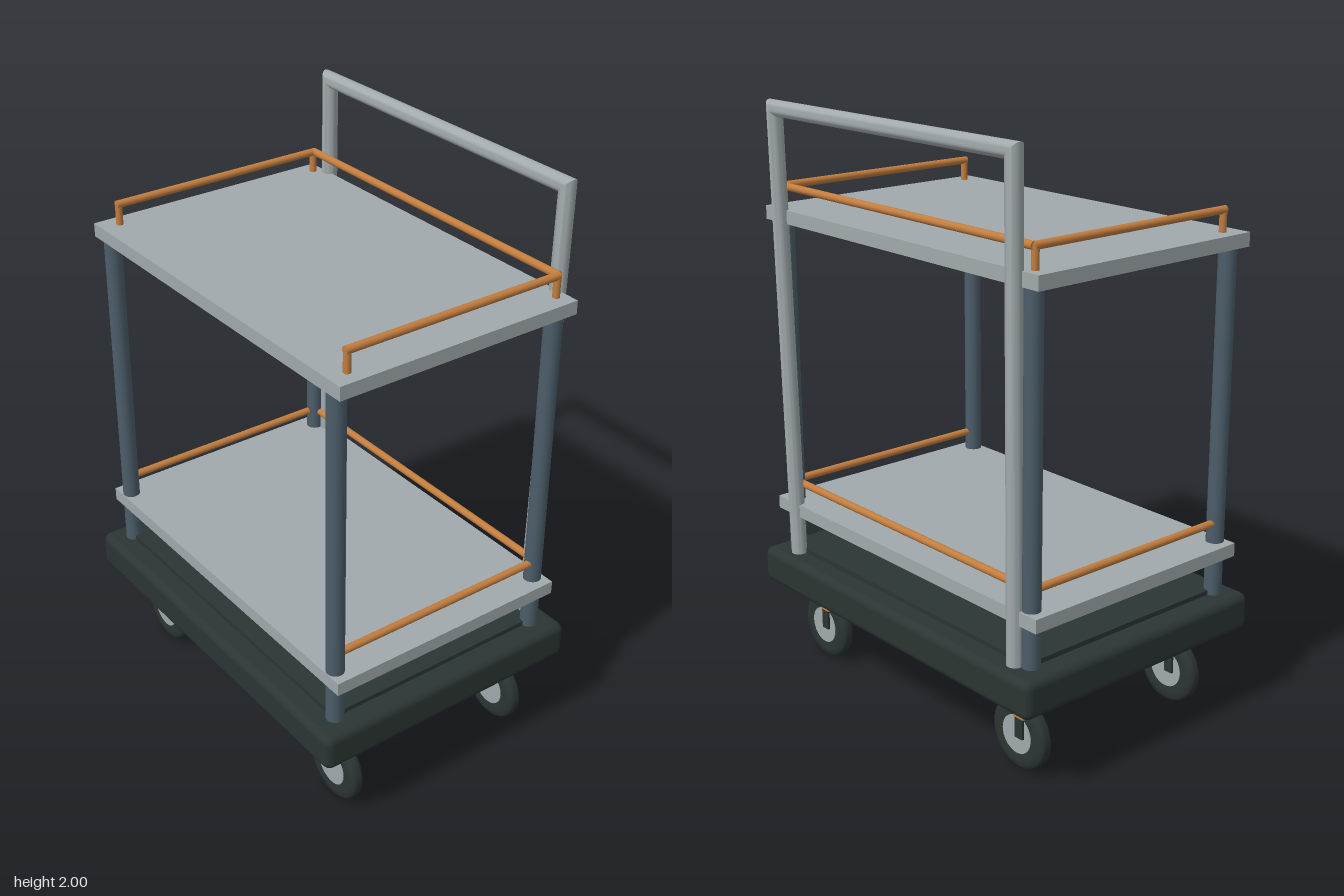
import * as THREE from 'three';
import { toCreasedNormals } from 'three/addons/utils/BufferGeometryUtils.js';
import { RoundedBoxGeometry } from 'three/addons/geometries/RoundedBoxGeometry.js';

const paint = (name, color) => {
  const m = new THREE.MeshStandardMaterial({ color });
  m.name = name;
  return m;
};

export function createModel() {
  const steel = paint('light steel', 0xa1a9ac);
  const slate = paint('slate blue', 0x4b5d69);
  const rubber = paint('dark rubber', 0x2b3533);
  const copper = paint('copper', 0xc27d3e);

  const cart = new THREE.Group();
  cart.name = 'serviceCart';

  const add = (parent, name, geometry, material, x = 0, y = 0, z = 0) => {
    const mesh = new THREE.Mesh(geometry, material);
    mesh.name = name;
    mesh.position.set(x, y, z);
    parent.add(mesh);
    return mesh;
  };
  const box = (w, h, d) => new THREE.BoxGeometry(w, h, d);

  // Round bar between two points
  const rod = (parent, name, from, to, radius, material) => {
    const a = new THREE.Vector3(...from), b = new THREE.Vector3(...to);
    const dir = b.clone().sub(a);
    const mesh = add(parent, name, new THREE.CylinderGeometry(radius, radius, dir.length(), 20), material);
    mesh.position.copy(a).add(b).multiplyScalar(0.5);
    mesh.quaternion.setFromUnitVectors(new THREE.Vector3(0, 1, 0), dir.normalize());
  };

  // Rounded base deck with a thin raised mat
  add(cart, 'deck', new RoundedBoxGeometry(1.4, 0.13, 1, 4, 0.028), rubber, 0, 0.35, 0);
  add(cart, 'deckMat', box(1.24, 0.02, 0.84), rubber, 0, 0.421, 0);

  // Shelves
  add(cart, 'lowerShelf', box(1.35, 0.046, 0.885), steel, 0, 0.578, 0);
  add(cart, 'upperShelf', box(1.35, 0.046, 0.885), steel, 0, 1.617, 0);

  // Corner posts
  for (const x of [-0.616, 0.616])
    for (const z of [-0.406, 0.41]) rod(cart, 'cornerPost', [x, 0.41, z], [x, 1.6, z], 0.03, slate);

  // Guard rails round three sides of each shelf
  for (const [y, name] of [[0.668, 'lowerRail'], [1.71, 'upperRail']]) {
    const rail = new THREE.Group();
    rail.name = name;
    cart.add(rail);
    rod(rail, 'backRail', [-0.62, y, -0.41], [0.62, y, -0.41], 0.013, copper);
    for (const x of [-0.62, 0.62]) {
      rod(rail, 'sideRail', [x, y, -0.41], [x, y, 0.385], 0.013, copper);
      if (y > 1)
        for (const z of [-0.405, 0.377]) rod(rail, 'railPost', [x, 1.635, z], [x, y + 0.006, z], 0.012, copper);
    }
  }

  // Push handle: a round tube swept through rings with mitred corners
  const rings = [
    [-0.573, 0.4, -0.434, -1, 0],
    [-0.583, 1.973, -0.453, -1, 1],
    [0.583, 1.973, -0.453, 1, 1],
    [0.573, 0.4, -0.434, 1, 0],
  ];
  const sides = 24, radius = 0.027, points = [], faces = [];
  rings.forEach(([x, y, z, nx, ny], i) => {
    for (let j = 0; j < sides; j++) {
      const t = (j / sides) * Math.PI * 2, c = radius * Math.cos(t);
      points.push(x + nx * c, y + ny * c, z + radius * Math.sin(t));
      if (i === rings.length - 1) continue;
      const a = i * sides + j, b = i * sides + ((j + 1) % sides);
      faces.push(a, b, a + sides, b, b + sides, a + sides);
    }
  });
  const tube = new THREE.BufferGeometry();
  tube.setAttribute('position', new THREE.Float32BufferAttribute(points, 3));
  tube.setIndex(faces);
  add(cart, 'pushHandle', toCreasedNormals(tube, 0.6), steel);

  // Tyre outline: radius, half width
  const tyre = toCreasedNormals(new THREE.LatheGeometry([
    [0, -0.022], [0.07, -0.022], [0.09, -0.025], [0.108, -0.022], [0.117, -0.015], [0.12, -0.006],
    [0.12, 0.006], [0.117, 0.015], [0.108, 0.022], [0.09, 0.025], [0.07, 0.022], [0, 0.022],
  ].map(([r, h]) => new THREE.Vector2(r, h)), 40), 0.6);

  // Swivel casters, each wheel trailing slightly towards +x
  for (const x of [-0.522, 0.518])
    for (const z of [-0.34, 0.34]) {
      const caster = new THREE.Group();
      caster.name = 'caster';
      caster.position.set(x, 0, z);
      cart.add(caster);
      add(caster, 'mountPlate', new THREE.CylinderGeometry(0.06, 0.06, 0.014, 28), slate, 0, 0.281, 0);
      add(caster, 'swivelBearing', new THREE.CylinderGeometry(0.038, 0.038, 0.014, 28), steel, 0, 0.269, 0);
      rod(caster, 'stem', [0, 0.19, 0], [0, 0.265, 0], 0.016, copper);
      add(caster, 'forkCrown', box(0.046, 0.014, 0.068), copper, 0, 0.195, 0);
      for (const s of [-1, 1])
        add(caster, 'forkArm', box(0.034, 0.072, 0.008), rubber, 0, 0.153, s * 0.029);
      add(caster, 'tyre', tyre, rubber, 0.018, 0.12, 0).rotation.x = Math.PI / 2;
      add(caster, 'hub', new THREE.CylinderGeometry(0.065, 0.065, 0.05, 32), steel, 0.018, 0.122, 0)
        .rotation.x = Math.PI / 2;
      rod(caster, 'axle', [0, 0.13, -0.032], [0, 0.13, 0.032], 0.01, rubber);
    }

  return cart;
}
